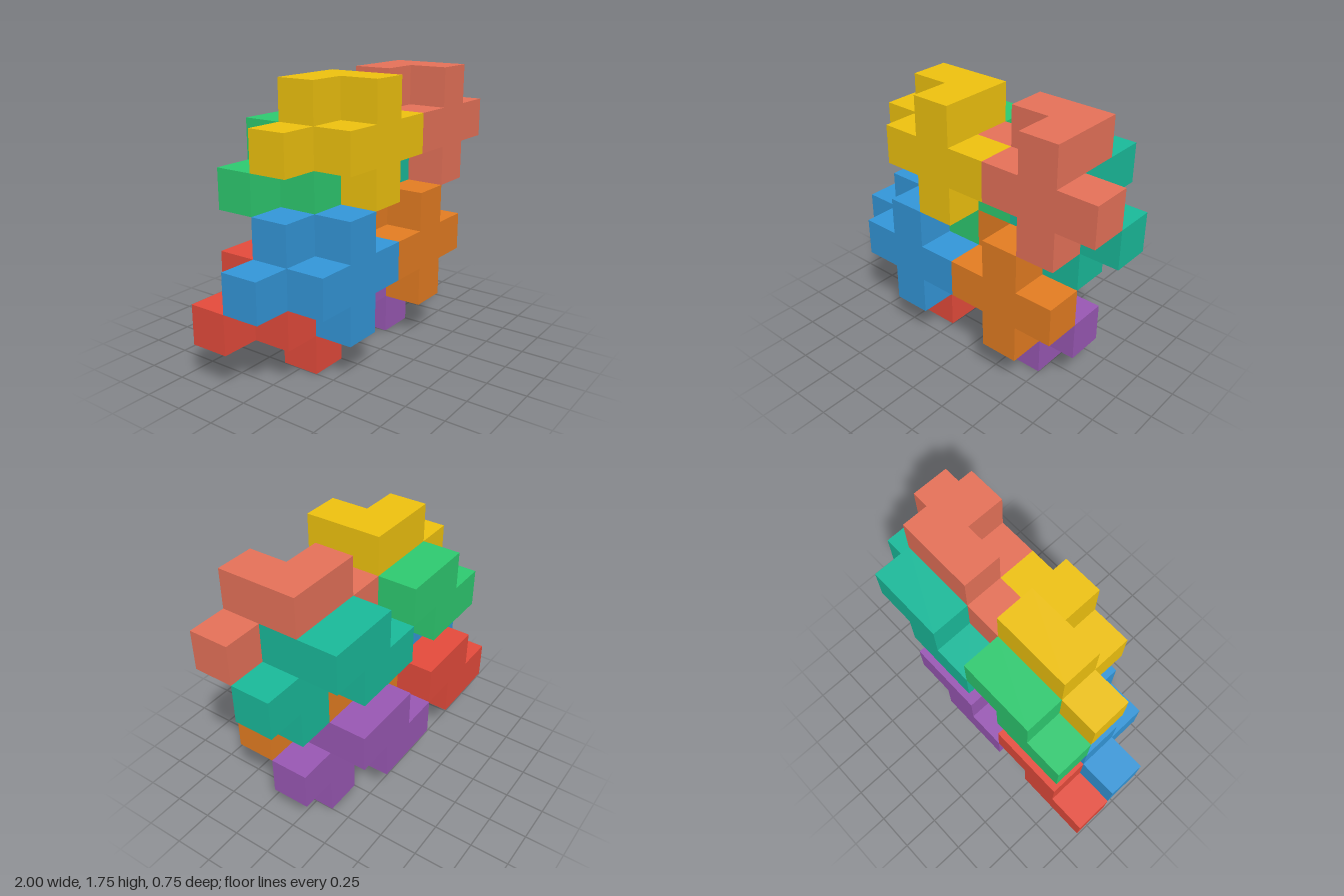
import * as THREE from 'three';

const U = 0.25; // edge of one cube cell

// Outlines in cell units, measured from the middle of the cross
const CROSS = [
  [-0.5, -1.5], [0.5, -1.5], [0.5, -0.5], [1.5, -0.5], [1.5, 0.5], [0.5, 0.5],
  [0.5, 1.5], [-0.5, 1.5], [-0.5, 0.5], [-1.5, 0.5], [-1.5, -0.5], [-0.5, -0.5],
];
const STEP = [
  [-2.5, -0.5], [-0.5, -0.5], [-0.5, 0.5], [0.5, 0.5],
  [0.5, 1.5], [-1.5, 1.5], [-1.5, 0.5], [-2.5, 0.5],
];

// One layer, a single cell thick
function slab(outline) {
  const shape = new THREE.Shape(outline.map(([x, y]) => new THREE.Vector2(x * U, y * U)));
  return new THREE.ExtrudeGeometry(shape, { depth: U, bevelEnabled: false });
}

// Name, colour, column and row of the cross centre, z of the cross layer's middle
const PIECES = [
  ['bluePiece', 0x3498db, 2, 2, U],
  ['orangePiece', 0xe67e22, 5, 2, U],
  ['yellowPiece', 0xf1c40f, 3, 5, U],
  ['coralPiece', 0xe8735a, 6, 5, U],
  ['redPiece', 0xe74c3c, 2, 1, 0],
  ['purplePiece', 0x9b59b6, 5, 1, 0],
  ['greenPiece', 0x2ecc71, 3, 4, 0],
  ['tealPiece', 0x1abc9c, 6, 4, 0],
];

export function createModel() {
  const model = new THREE.Group();
  model.name = 'interlockingPuzzle';
  const crossGeometry = slab(CROSS);
  const stepGeometry = slab(STEP);

  for (const [name, color, col, row, z] of PIECES) {
    const piece = new THREE.Group();
    piece.name = name;
    piece.position.set(-1 + (col + 0.5) * U, (row + 0.5) * U, z);
    const material = new THREE.MeshStandardMaterial({ color });

    // Cross in front
    const cross = new THREE.Mesh(crossGeometry, material);
    cross.name = 'cross';
    cross.position.z = -U / 2;

    // Stepped four-cell block one layer behind it
    const step = new THREE.Mesh(stepGeometry, material);
    step.name = 'steppedBlock';
    step.position.z = -U * 1.5;

    piece.add(cross, step);
    model.add(piece);
  }
  return model;
}
